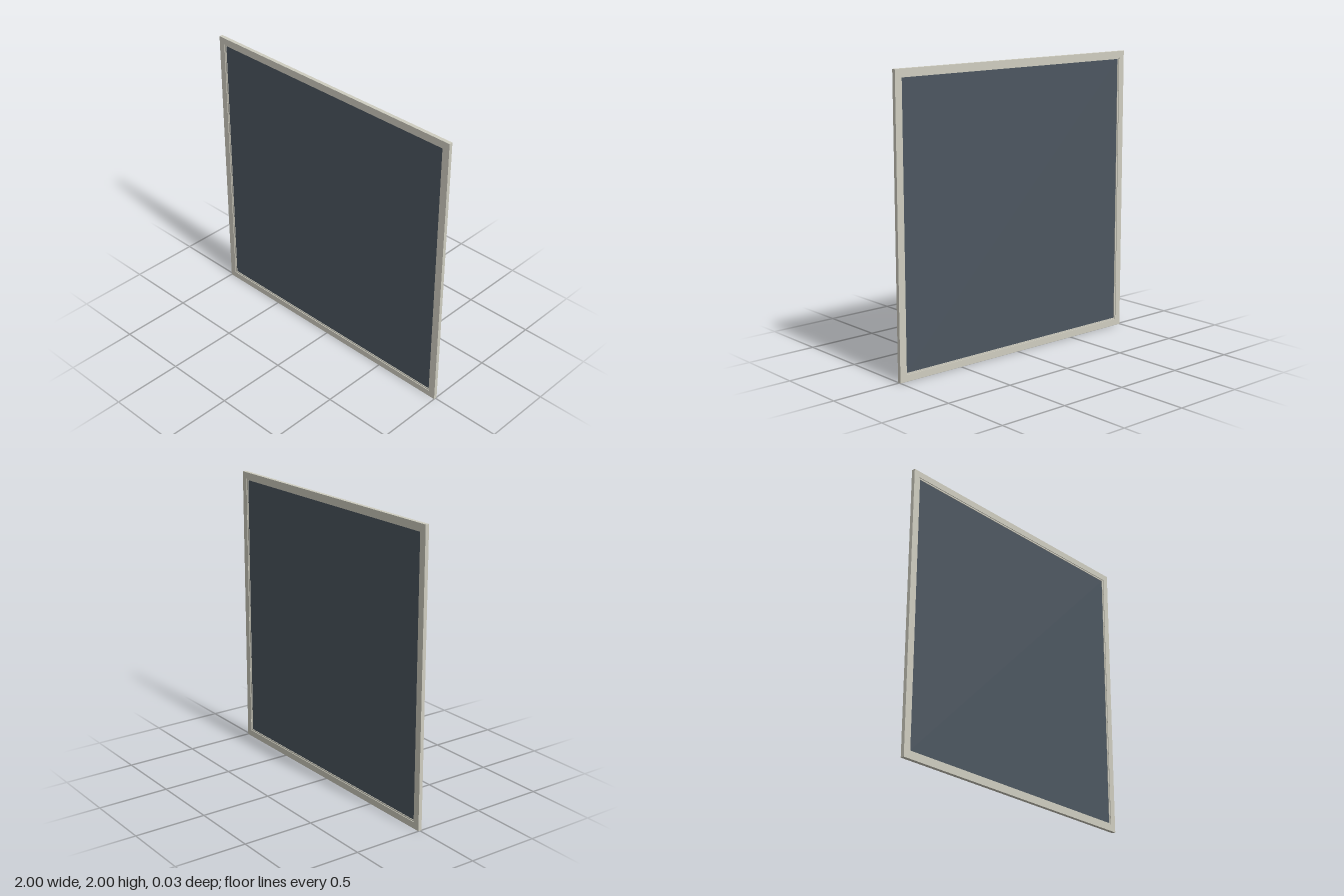
import * as THREE from 'three';

const SIZE = 2;

// Square ring between two sizes, extruded evenly about z = 0
function squareRing(outer, inner, depth) {
  const square = (Type, s) => new Type([[-1, -1], [1, -1], [1, 1], [-1, 1]]
    .map(([x, y]) => new THREE.Vector2(x * s / 2, y * s / 2)));
  const shape = square(THREE.Shape, outer);
  shape.holes.push(square(THREE.Path, inner));
  return new THREE.ExtrudeGeometry(shape, { depth, bevelEnabled: false })
    .translate(0, 0, -depth / 2);
}

export function createModel() {
  const model = new THREE.Group();
  model.name = 'framedPanel';
  const frameMaterial = new THREE.MeshStandardMaterial({ color: 0xcfcdc0 });
  const panelMaterial = new THREE.MeshStandardMaterial({ color: 0x4c5660 });

  const add = (name, geometry, material) => {
    const mesh = new THREE.Mesh(geometry, material);
    mesh.name = name;
    mesh.position.y = SIZE / 2;
    model.add(mesh);
  };

  // Outer frame
  add('frame', squareRing(SIZE, SIZE - 0.09, 0.026), frameMaterial);
  // Narrow bead stepping down from the frame to the panel
  add('innerBead', squareRing(SIZE - 0.09, SIZE - 0.11, 0.016), frameMaterial);
  // Dark pane held in the bead
  add('pane', new THREE.BoxGeometry(SIZE - 0.1, SIZE - 0.1, 0.008), panelMaterial);

  return model;
}
